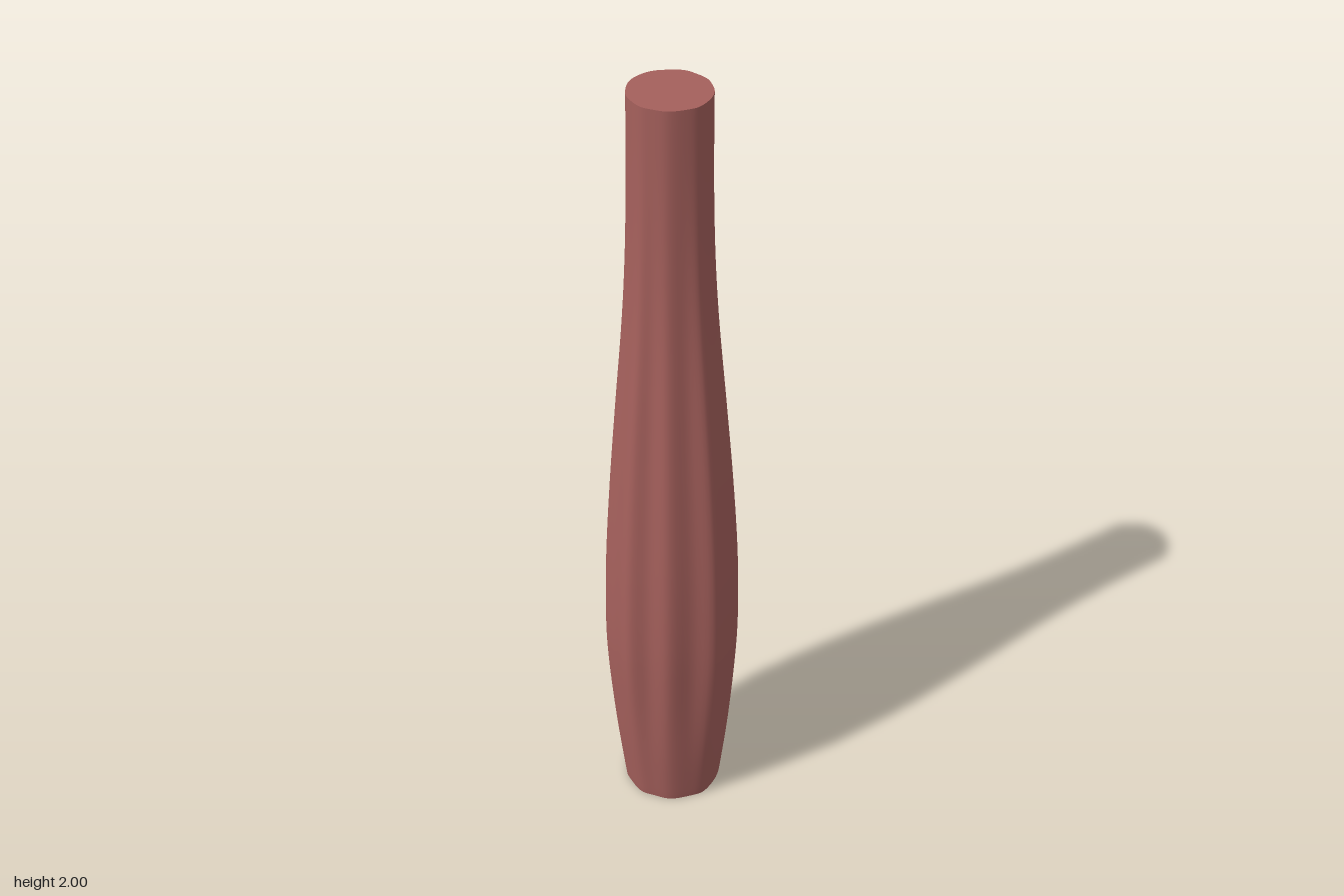
import * as THREE from 'three';

const SIDES = 96, RINGS = 64;

// Fluted outline at the thickest point: [angle in degrees from +x towards +z, radius]
const flutes = [
  [-7, 0.167], [-27, 0.157], [-42, 0.174], [-56, 0.164], [-67, 0.153], [-90, 0.170],
  [-117, 0.173], [-131, 0.172], [-150, 0.161], [-168, 0.170], [-181, 0.162], [-204, 0.173],
  [-221, 0.153], [-240, 0.162], [-263, 0.151], [-282, 0.170], [-300, 0.158], [-326, 0.162],
  [-335, 0.160], [-348, 0.154],
];
const outline = new THREE.CatmullRomCurve3(flutes.map(([deg, r]) => {
  const a = THREE.MathUtils.degToRad(deg);
  return new THREE.Vector3(r * Math.cos(a), 0, r * Math.sin(a));
}).reverse(), true).getPoints(SIDES).slice(0, SIDES);

// Body profile: radius, height
const profile = new THREE.SplineCurve([
  [0.122, 0], [0.127, 0.04], [0.144, 0.2], [0.159, 0.4], [0.164, 0.55], [0.160, 0.75],
  [0.147, 0.97], [0.129, 1.2], [0.111, 1.42], [0.101, 1.6], [0.096, 1.8], [0.095, 2],
].map(([r, y]) => new THREE.Vector2(r, y))).getPoints(RINGS);

// Fluted strength fades towards both ends
function fluteAt(y) {
  return y < 0.5 ? 0.35 + 0.65 * THREE.MathUtils.smoothstep(y, 0, 0.5)
    : 1 - 0.75 * THREE.MathUtils.smoothstep(y, 1.1, 2);
}

function ringPoints({ x: r, y }) {
  const s = fluteAt(y);
  const shift = -0.005 * THREE.MathUtils.smoothstep(y, 0.6, 1.8);
  return outline.map((p) => {
    const len = Math.hypot(p.x, p.z);
    const k = r * (1 + s * (len / 0.163 - 1)) / len;
    return [p.x * k + shift, y, p.z * k + shift];
  });
}

function makeGeometry(points, index) {
  const g = new THREE.BufferGeometry();
  g.setAttribute('position', new THREE.Float32BufferAttribute(points.flat(), 3));
  g.setIndex(index);
  g.computeVertexNormals();
  return g;
}

// Side wall joining all cross-sections
function bodyGeometry(rings) {
  const index = [];
  for (let j = 0; j < rings.length - 1; j++) {
    for (let i = 0; i < SIDES; i++) {
      const a = j * SIDES + i, b = j * SIDES + (i + 1) % SIDES;
      index.push(a, a + SIDES, b, b, a + SIDES, b + SIDES);
    }
  }
  return makeGeometry(rings.flat(), index);
}

// Flat end closing one cross-section
function capGeometry(ring, up) {
  const index = [];
  for (let i = 0; i < SIDES; i++) {
    const n = (i + 1) % SIDES;
    index.push(SIDES, up ? n : i, up ? i : n);
  }
  return makeGeometry([...ring, [0, ring[0][1], 0]], index);
}

export function createModel() {
  const group = new THREE.Group();
  const material = new THREE.MeshStandardMaterial({ color: 0xa5605c });
  material.name = 'dusty red';

  const rings = profile.map(ringPoints);
  const add = (name, geometry) => {
    const mesh = new THREE.Mesh(geometry, material);
    mesh.name = name;
    group.add(mesh);
  };
  add('flutedBody', bodyGeometry(rings));
  add('topCap', capGeometry(rings[RINGS], true));
  add('bottomCap', capGeometry(rings[0], false));
  return group;
}
